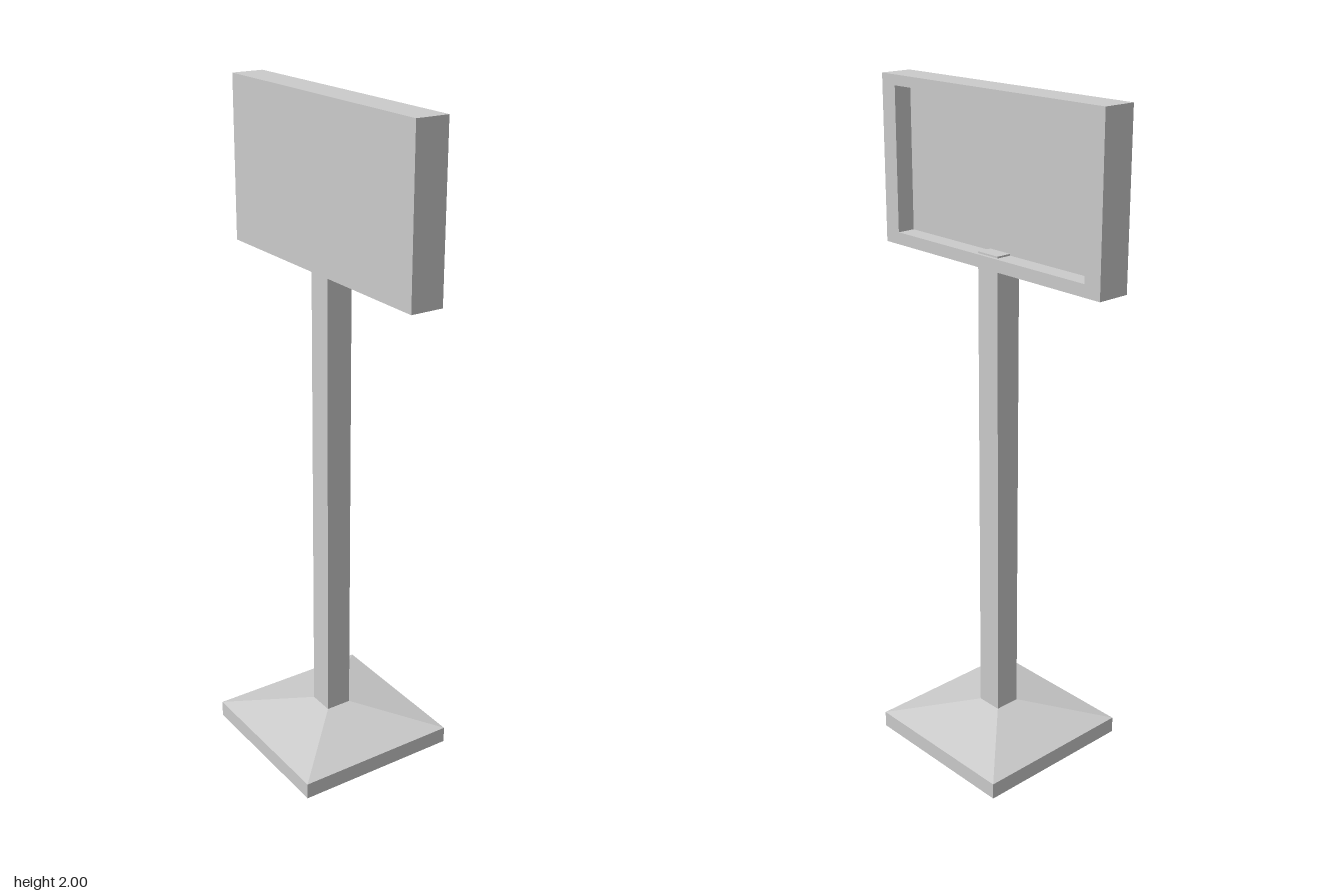
import * as THREE from 'three';

const material = new THREE.MeshStandardMaterial({ color: 0xcccccc, flatShading: true });

function addPart(group, name, geometry, x, y, z) {
  const mesh = new THREE.Mesh(geometry, material);
  mesh.name = name;
  mesh.position.set(x, y, z);
  group.add(mesh);
  return mesh;
}

function rectangle(Type, halfWidth, bottom, top) {
  const path = new Type();
  path.moveTo(-halfWidth, bottom);
  path.lineTo(halfWidth, bottom);
  path.lineTo(halfWidth, top);
  path.lineTo(-halfWidth, top);
  path.closePath();
  return path;
}

export function createModel() {
  const model = new THREE.Group();
  model.name = 'signStand';

  // Square foot: flat slab with side walls, then a slope up to the pole
  const footHalf = 0.255, poleHalf = 0.04;
  const footProfile = [[0, 0], [footHalf, 0], [footHalf, 0.05], [poleHalf, 0.11]]
    .map(([r, y]) => new THREE.Vector2(r * Math.SQRT2, y));
  const foot = new THREE.LatheGeometry(footProfile, 4, Math.PI / 4).toNonIndexed();
  foot.computeVertexNormals();
  addPart(model, 'foot', foot, 0, 0, 0);

  // Square pole, its tip just showing inside the sign's recess
  const poleBottom = 0.1, poleTop = 1.555;
  addPart(model, 'pole',
    new THREE.BoxGeometry(2 * poleHalf, poleTop - poleBottom, 2 * poleHalf),
    0, (poleTop + poleBottom) / 2, 0);

  // Sign: a solid back plate and a raised rim around the recess on the +x side
  const sign = new THREE.Group();
  sign.name = 'sign';
  const signHalf = 0.434, bottom = 1.514, top = 2, back = -0.05, recess = -0.006, face = 0.05;
  addPart(sign, 'backPlate',
    new THREE.BoxGeometry(recess - back, top - bottom, 2 * signHalf),
    (back + recess) / 2, (top + bottom) / 2, 0);

  const rimShape = rectangle(THREE.Shape, signHalf, bottom, top);
  rimShape.holes.push(rectangle(THREE.Path, 0.378, 1.55, 1.97));
  const rim = new THREE.ExtrudeGeometry(rimShape, { depth: face - recess, bevelEnabled: false });
  rim.rotateY(Math.PI / 2);
  addPart(sign, 'rim', rim, recess, 0, 0);
  model.add(sign);

  return model;
}
